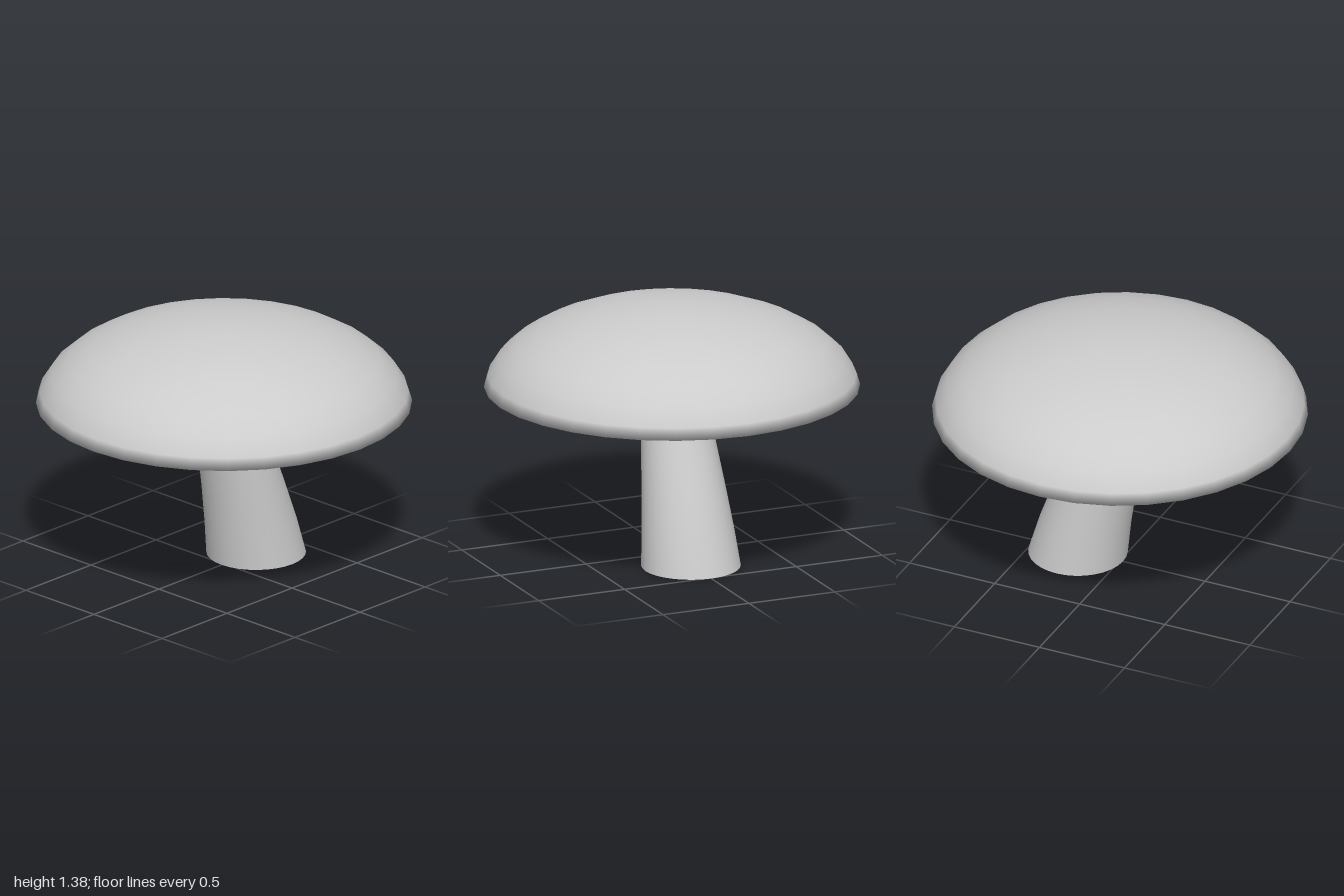
import * as THREE from 'three';
import { mergeVertices } from 'three/addons/utils/BufferGeometryUtils.js';

const SIDES = 32;
const CAP_BASE = 0.93;

// Stem rings from the ground up: [radius, height, sideways shift]
const STEM = [
  [0.265, 0, 0.247],
  [0.246, 0.2, 0.205],
  [0.223, 0.42, 0.148],
  [0.204, 0.6, 0.096],
  [0.18, 0.82, 0.033],
  [0.18, CAP_BASE, 0],
];

// Cap rings: flat underside out to the rim, then an elliptical dome to the top
function capRings() {
  const rings = [[1, CAP_BASE, 0]];
  for (let k = 7; k >= 0; k--) {
    const a = (k * Math.PI) / 16;
    rings.push([Math.sin(a), 0.9 + 0.48 * Math.cos(a), 0]);
  }
  return rings;
}

// One continuous skin, so the shading flows from stem to underside to dome
function buildSkin() {
  const rings = [...STEM, ...capRings()];
  const points = rings.map(([r, y]) => new THREE.Vector2(r, y));
  const lathe = new THREE.LatheGeometry(points, SIDES);
  const pos = lathe.attributes.position;
  for (let i = 0; i < pos.count; i++) {
    pos.setX(i, pos.getX(i) + rings[i % rings.length][2]);
  }
  lathe.deleteAttribute('normal');
  lathe.deleteAttribute('uv');
  const skin = mergeVertices(lathe, 1e-4);
  skin.computeVertexNormals();
  return skin;
}

// Take the stem faces or the cap faces out of the skin, keeping its normals
function takeFaces(skin, wantStem) {
  const pos = skin.attributes.position;
  const index = skin.index.array;
  const inStem = (v) => pos.getY(v) < CAP_BASE + 0.001 && Math.hypot(pos.getX(v), pos.getZ(v)) < 0.6;
  const picked = [];
  for (let i = 0; i < index.length; i += 3) {
    const face = [index[i], index[i + 1], index[i + 2]];
    if (new Set(face).size === 3 && face.every(inStem) === wantStem) picked.push(...face);
  }
  const part = skin.clone();
  part.setIndex(picked);
  return mergeVertices(part.toNonIndexed());
}

export function createModel() {
  const group = new THREE.Group();
  group.name = 'mushroom';
  const material = new THREE.MeshStandardMaterial({ color: 0xcccccc, side: THREE.DoubleSide });
  const skin = buildSkin();
  for (const name of ['stem', 'cap']) {
    const mesh = new THREE.Mesh(takeFaces(skin, name === 'stem'), material);
    mesh.name = name;
    group.add(mesh);
  }
  return group;
}
